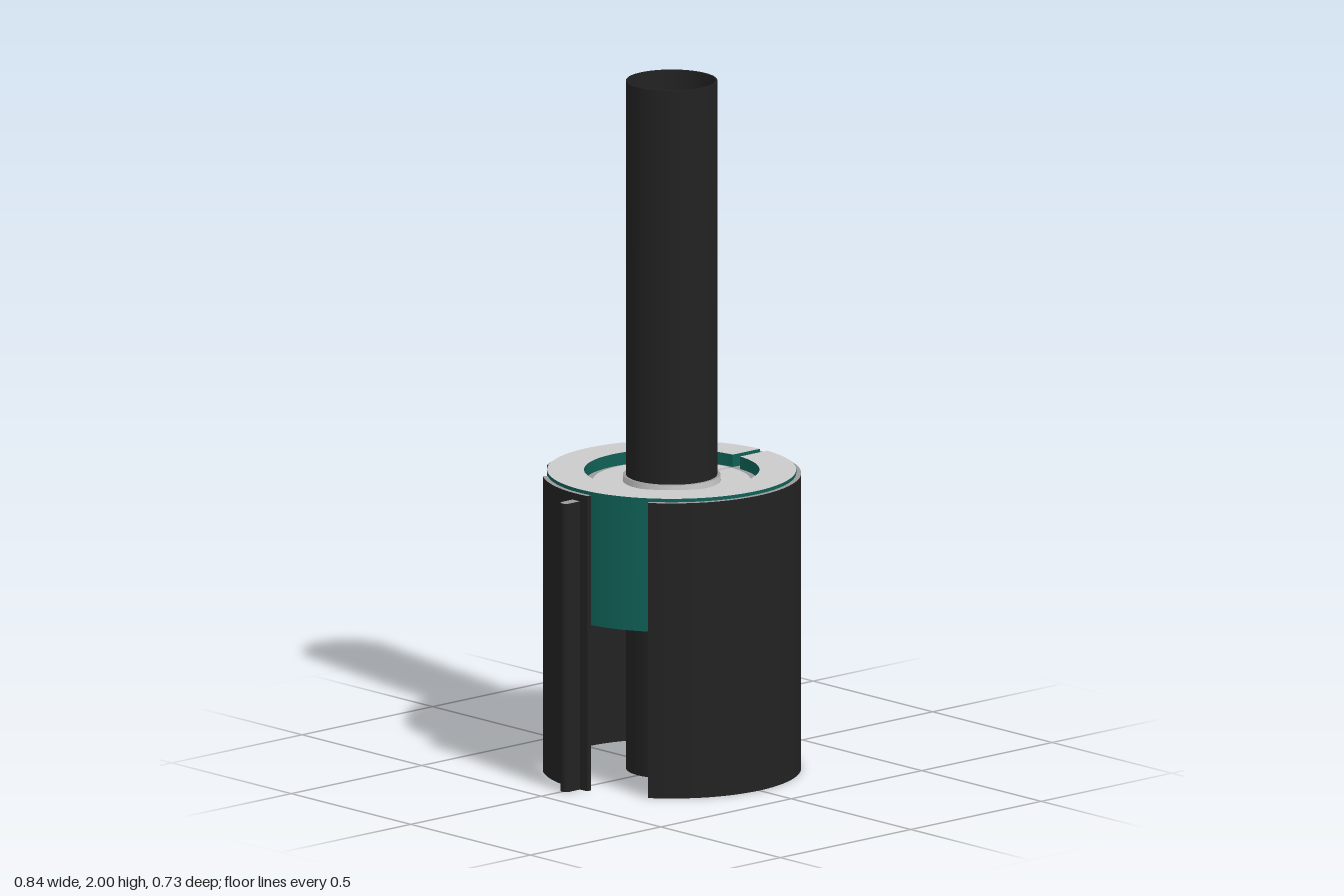
import * as THREE from 'three';
import { toCreasedNormals } from 'three/addons/utils/BufferGeometryUtils.js';

const RAD = Math.PI / 180;

function material(name, color) {
  const m = new THREE.MeshStandardMaterial({ color, side: THREE.DoubleSide });
  m.name = name;
  return m;
}

export function createModel() {
  const black = material('black', 0x222222);
  const teal = material('teal', 0x0f6056);
  const lightGrey = material('light grey', 0xcacaca);
  const midGrey = material('mid grey', 0x999999);

  const model = new THREE.Group();
  model.name = 'slottedCanisterWithTube';

  // Raises a flat shape from y0 to y1, with own colours for caps and walls
  function raise(name, shape, y0, y1, cap, wall) {
    const extruded = new THREE.ExtrudeGeometry(shape, {
      depth: y1 - y0, bevelEnabled: false, curveSegments: 72,
    });
    const geometry = toCreasedNormals(extruded, 0.5);
    geometry.rotateX(-Math.PI / 2);
    geometry.translate(0, y0, 0);
    const mesh = new THREE.Mesh(geometry, [cap, wall]);
    mesh.name = name;
    model.add(mesh);
  }

  // Full ring
  function ring(inner, outer) {
    const shape = new THREE.Shape().absarc(0, 0, outer, 0, Math.PI * 2);
    shape.holes.push(new THREE.Path().absarc(0, 0, inner, 0, Math.PI * 2, true));
    return shape;
  }

  // Part of a ring between two angles in degrees
  function sector(inner, outer, from, to) {
    const shape = new THREE.Shape();
    shape.absarc(0, 0, outer, from * RAD, to * RAD, false);
    shape.absarc(0, 0, inner, to * RAD, from * RAD, true);
    shape.closePath();
    return shape;
  }

  // Ring cut by a straight radial slot on the +x side
  function slottedRing(inner, outer, halfSlot) {
    const a = Math.asin(halfSlot / outer);
    const b = Math.asin(halfSlot / inner);
    const shape = new THREE.Shape();
    shape.absarc(0, 0, outer, a, Math.PI * 2 - a, false);
    shape.absarc(0, 0, inner, Math.PI * 2 - b, b, true);
    shape.closePath();
    return shape;
  }

  // Long open tube and the sleeve within it
  raise('centralTube', ring(0.124, 0.129), 0, 2, black, black);
  raise('innerSleeve', ring(0.119, 0.124), 0.48, 0.86, teal, teal);

  // Core with its raised slotted rim, recessed disc and collar
  raise('core', ring(0.129, 0.35), 0.48, 0.832, midGrey, teal);
  raise('coreRim', slottedRing(0.248, 0.352, 0.015), 0.832, 0.868, lightGrey, teal);
  raise('recessedDisc', slottedRing(0.139, 0.223, 0.006), 0.832, 0.838, lightGrey, lightGrey);
  raise('tubeCollar', ring(0.129, 0.138), 0.832, 0.855, midGrey, lightGrey);

  // Outer shell in two pieces, leaving two full-height openings
  raise('mainShell', sector(0.352, 0.366, -143, 122), 0, 0.858, midGrey, black);
  raise('narrowShell', sector(0.352, 0.366, 143, 187), 0, 0.858, midGrey, black);

  // Round-edged fin on each side
  for (const side of [1, -1]) {
    const fin = new THREE.Shape();
    fin.moveTo(side * 0.36, -0.015 * side);
    fin.lineTo(side * 0.405, -0.015 * side);
    const start = side > 0 ? -Math.PI / 2 : Math.PI / 2;
    fin.absarc(side * 0.405, 0, 0.015, start, start + Math.PI, false);
    fin.lineTo(side * 0.36, 0.015 * side);
    fin.closePath();
    raise(side > 0 ? 'leftFin' : 'rightFin', fin, 0, 0.838, midGrey, black);
  }

  return model;
}
